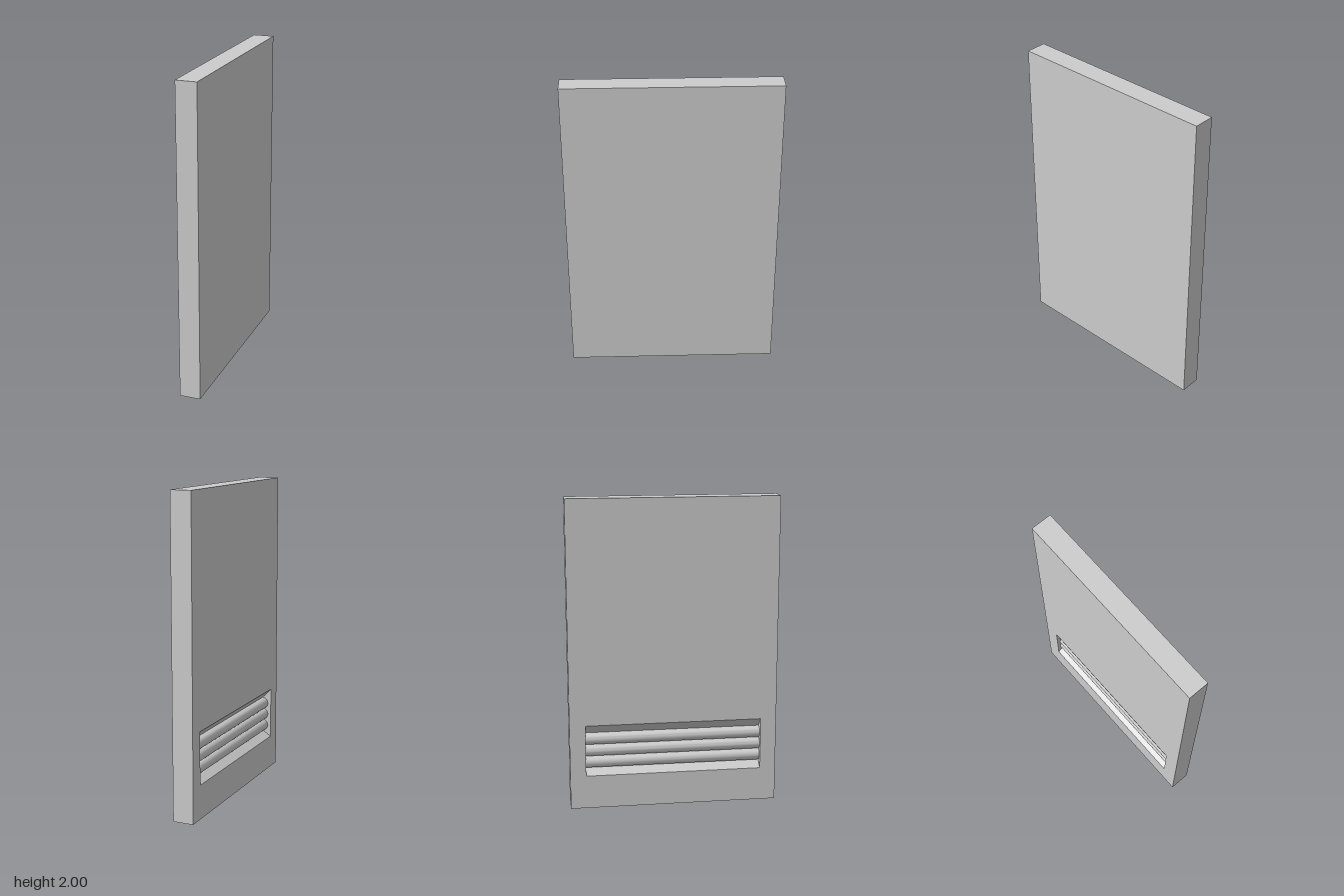
import * as THREE from 'three';
import { toCreasedNormals } from 'three/addons/utils/BufferGeometryUtils.js';

const W = 0.134, H = 2, D = 1.344;          // panel thickness, height, length
const FACE = -W / 2;                        // x of the vented face
const VENT = { half: 0.57, bottom: 0.218, top: 0.555, depth: 0.06 };
const SLATS = 3, R = 0.039, SLAT_BOTTOM = 0.258;

export function createModel() {
  const group = new THREE.Group();
  const material = new THREE.MeshStandardMaterial({ color: 0xcccccc, side: THREE.DoubleSide });
  const add = (name, geometry) => {
    const mesh = new THREE.Mesh(geometry, material);
    mesh.name = name;
    group.add(mesh);
    return mesh;
  };

  // Panel body: a box left open on the vented side
  const box = new THREE.BoxGeometry(W, H, D).translate(0, H / 2, 0);
  const index = Array.from(box.index.array);
  index.splice(6, 6);
  box.setIndex(index);
  box.clearGroups();
  add('panelBody', box);

  // Vented face with the opening cut out
  const rect = (Type, z, y0, y1) => new Type([[-z, y0], [z, y0], [z, y1], [-z, y1]]
    .map(([a, b]) => new THREE.Vector2(a, b)));
  const face = rect(THREE.Shape, D / 2, 0, H);
  face.holes.push(rect(THREE.Path, VENT.half, VENT.bottom, VENT.top));
  add('ventedFace', new THREE.ShapeGeometry(face).rotateY(-Math.PI / 2).translate(FACE, 0, 0));

  // Recess profile from top to bottom: sloped head, rounded slats, sloped sill
  const profile = [new THREE.Vector2(FACE, VENT.top)];
  const steps = 16;
  for (let i = SLATS - 1; i >= 0; i--) {
    const cy = SLAT_BOTTOM + R * (2 * i + 1);
    for (let s = i === SLATS - 1 ? 0 : 1; s <= steps; s++) {
      const t = (s / steps) * Math.PI;
      profile.push(new THREE.Vector2(FACE + VENT.depth - R * Math.sin(t), cy + R * Math.cos(t)));
    }
  }
  profile.push(new THREE.Vector2(FACE, VENT.bottom));

  // Sweep the profile along the length of the vent
  const strip = new THREE.PlaneGeometry(2 * VENT.half, 1, 1, profile.length - 1);
  const pos = strip.attributes.position;
  for (let i = 0; i < pos.count; i++) {
    const p = profile[Math.floor(i / 2)];
    pos.setXYZ(i, p.x, p.y, pos.getX(i));
  }
  add('ventSlats', toCreasedNormals(strip, 0.6));

  // End walls of the recess
  for (const side of [-1, 1]) {
    const wall = add(side > 0 ? 'ventFrontWall' : 'ventBackWall',
      new THREE.ShapeGeometry(new THREE.Shape(profile)));
    if (side > 0) wall.geometry.scale(1, 1, -1).index.array.reverse();
    wall.geometry.computeVertexNormals();
    wall.position.z = side * VENT.half;
  }
  return group;
}
